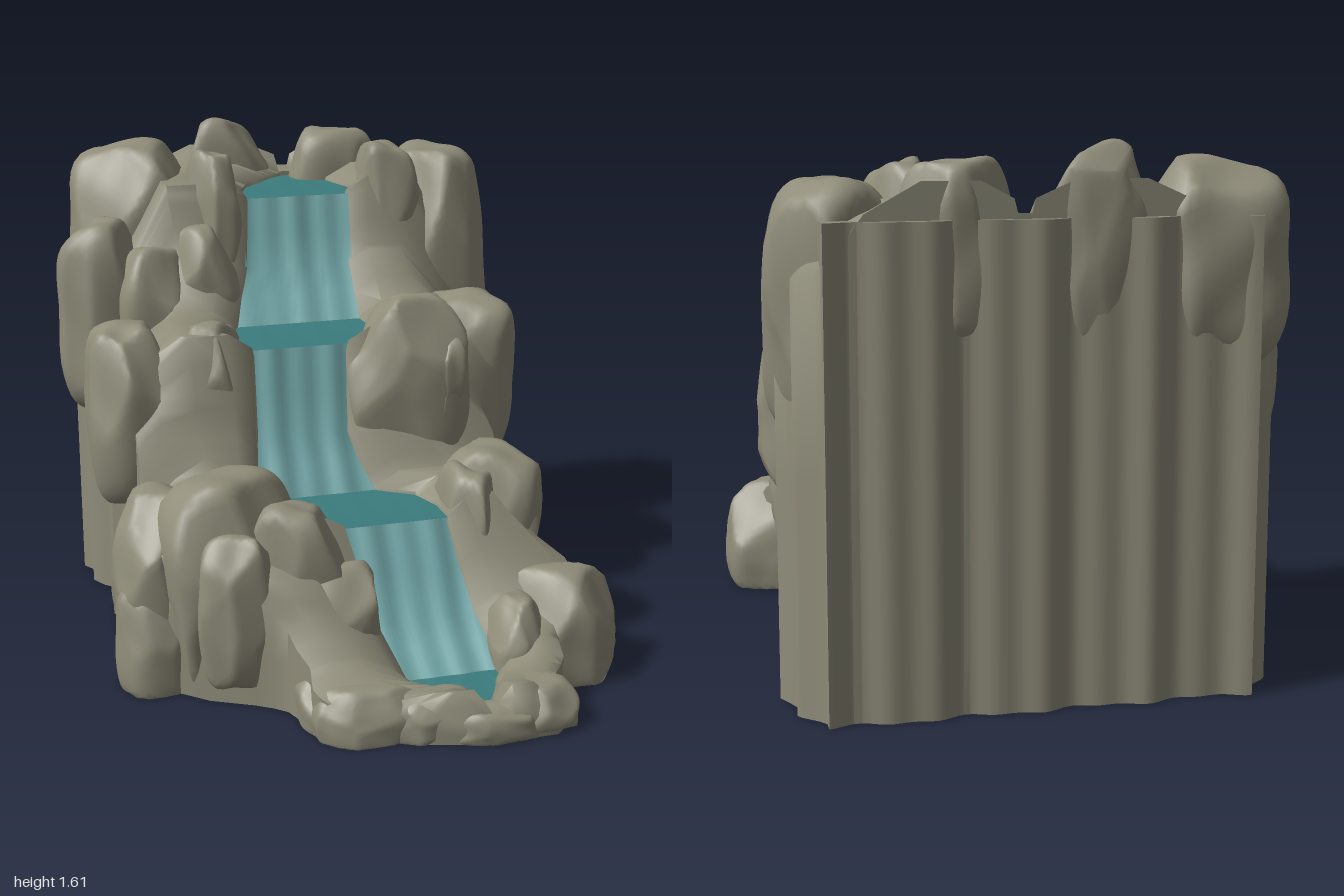
import * as THREE from 'three';
import { mergeVertices, toCreasedNormals } from 'three/addons/utils/BufferGeometryUtils.js';

const material = (name, color) => {
  const m = new THREE.MeshStandardMaterial({ color });
  m.name = name;
  return m;
};

function seeded(seed) {
  let s = seed * 7919 + 17;
  return () => (s = (s * 16807) % 2147483647) / 2147483647;
}

// Stream bed from back to front: z, left edge, right edge, height
const BED = [
  [-0.97, 0.07, 0.13, 1.46], [-0.87, 0.07, 0.13, 1.39], [-0.8, 0, 0.2, 1.39],
  [-0.7, -0.1, 0.23, 1.385], [-0.6, -0.14, 0.26, 1.385], [-0.52, -0.14, 0.22, 1.38],
  [-0.44, -0.16, 0.21, 1.15], [-0.31, -0.23, 0.21, 0.98], [-0.2, -0.29, 0.23, 0.97],
  [-0.1, -0.26, 0.16, 0.97], [-0.05, -0.24, 0.09, 0.97], [0.03, -0.25, 0.07, 0.69],
  [0.13, -0.27, 0.13, 0.51], [0.2, -0.29, 0.25, 0.505], [0.3, -0.22, 0.29, 0.5],
  [0.41, -0.06, 0.29, 0.5], [0.55, 0, 0.33, 0.23], [0.71, 0.05, 0.36, 0.1],
  [0.78, 0.09, 0.32, 0.08], [0.87, 0.21, 0.27, 0.08], [0.93, 0.22, 0.27, 0.1],
  [0.98, 0.25, 0.27, 0.04],
];
// Cliff walls: z, left x, left height, right height, right x
const WALLS = [
  [-0.95, -0.58, 1.42, 1.42, 0.66], [-0.85, -0.66, 1.35, 1.38, 0.72], [-0.7, -0.72, 1.2, 1.3, 0.75],
  [-0.5, -0.7, 1.1, 1.18, 0.66], [-0.42, -0.62, 1, 1.05, 0.58], [-0.3, -0.68, 0.95, 0.96, 0.66],
  [-0.1, -0.7, 0.92, 0.92, 0.64], [0, -0.64, 0.8, 0.8, 0.55], [0.08, -0.6, 0.6, 0.57, 0.6],
  [0.25, -0.7, 0.55, 0.52, 0.64], [0.4, -0.62, 0.5, 0.46, 0.6], [0.55, -0.4, 0.4, 0.32, 0.7],
  [0.62, -0.29, 0.3, 0.25, 0.68], [0.72, -0.27, 0.2, 0.2, 0.56], [0.83, -0.24, 0.14, 0.14, 0.5],
  [0.92, 0.02, 0.1, 0.09, 0.48], [0.98, 0.2, 0.04, 0.05, 0.45],
];

function sample(rows, z) {
  let i = 0;
  while (i < rows.length - 2 && rows[i + 1][0] < z) i++;
  const [a, b] = [rows[i], rows[i + 1]];
  const t = THREE.MathUtils.clamp((z - a[0]) / (b[0] - a[0]), 0, 1);
  return a.map((v, k) => v + (b[k] - v) * t);
}

function fromArrays(positions, index) {
  const g = new THREE.BufferGeometry();
  g.setAttribute('position', new THREE.Float32BufferAttribute(positions, 3));
  g.setIndex(index);
  g.computeVertexNormals();
  return g;
}

// Stepped cliff: closed cross-sections lofted from back to front
function cliffGeometry() {
  const marks = [...new Set([...BED.slice(1), ...WALLS].map((r) => r[0]))].sort((a, b) => a - b);
  const zs = marks.flatMap((z, i) => (i ? [(z + marks[i - 1]) / 2, z] : [z]));
  const mix = THREE.MathUtils.lerp;
  const pos = [], index = [];
  let n = 0;
  zs.forEach((z, i) => {
    const [, wl, wr, y] = sample(BED, z);
    const [, l, hl, hr, r] = sample(WALLS, z);
    const flute = 0.014 * Math.sin(z * 42);
    const xl = l - flute, xr = r + flute;
    const rim = Math.min(0.06, y);
    const ring = [
      [xl, 0], [xr, 0], [xr, hr * 0.5], [xr, hr * 0.9], [mix(xr, wr, 0.2), hr],
      [mix(xr, wr, 0.5), Math.max(hr, y + rim)], [mix(xr, wr, 0.82), y + rim], [wr, y + 0.01], [wr - 0.01, y - 0.03],
      [wl + 0.01, y - 0.03], [wl, y + 0.01], [mix(xl, wl, 0.82), y + rim], [mix(xl, wl, 0.5), Math.max(hl, y + rim)],
      [mix(xl, wl, 0.2), hl], [xl, hl * 0.9], [xl, hl * 0.5],
    ];
    n = ring.length;
    ring.forEach(([x, h]) => pos.push(x, h, z));
    if (i) for (let j = 0; j < n; j++) {
      const k = (j + 1) % n, a = (i - 1) * n, b = i * n;
      index.push(a + j, a + k, b + j, a + k, b + k, b + j);
    }
  });
  // End caps
  const last = (zs.length - 1) * n, c = zs.length * n;
  pos.push(0.05, 0.3, zs[0], 0.3, 0.015, zs[zs.length - 1]);
  for (let j = 0; j < n; j++) {
    const k = (j + 1) % n;
    index.push(c, k, j, c + 1, last + j, last + k);
  }
  return toCreasedNormals(fromArrays(pos, index), 0.9);
}

// Upright back wall with soft flutes
function backWallGeometry() {
  const plan = new THREE.Shape();
  plan.moveTo(-0.58, 0.9);
  plan.lineTo(0.66, 0.9);
  for (let i = 0; i <= 60; i++) {
    const x = 0.66 - (1.24 * i) / 60;
    plan.lineTo(x, 0.968 + 0.012 * Math.sin(x * 19) + 0.008 * Math.sin(x * 41));
  }
  const g = new THREE.ExtrudeGeometry(plan, { depth: 1.4, bevelEnabled: false });
  return toCreasedNormals(g.rotateX(-Math.PI / 2), 0.8);
}

// Blocky boulder: rounded box cut by random planes, flat on the ground
function boulderGeometry([x, y, z, rx, ry, rz], seed) {
  const rnd = seeded(seed + 3);
  for (let i = 0; i < 5; i++) rnd();
  const cuts = Array.from({ length: 12 }, () => ({
    n: new THREE.Vector3(rnd() * 2 - 1, rnd() * 1.4 - 0.5, rnd() * 2 - 1).normalize(),
    d: 0.84 + rnd() * 0.22,
  }));
  let g = new THREE.IcosahedronGeometry(1, 10);
  g.deleteAttribute('normal');
  g.deleteAttribute('uv');
  g = mergeVertices(g, 1e-4);
  const p = g.attributes.position, v = new THREE.Vector3(), e = 3.6;
  for (let i = 0; i < p.count; i++) {
    v.fromBufferAttribute(p, i);
    v.multiplyScalar((Math.abs(v.x) ** e + Math.abs(v.y) ** e + Math.abs(v.z) ** e) ** (-1 / e));
    for (const { n, d } of cuts) {
      const over = v.dot(n) - d;
      if (over > 0) v.addScaledVector(n, -over * 0.9);
    }
    v.multiplyScalar(1 + 0.03 * Math.sin(v.x * 5 + seed) * Math.sin(v.z * 5 + seed * 2) + 0.02 * Math.sin(v.y * 6 + v.x * 4 + seed));
    p.setXYZ(i, x + v.x * rx, Math.max(0, y + v.y * ry), z + v.z * rz);
  }
  g.computeVertexNormals();
  return g;
}

// Strip of water across the given bed rows, rippled along the flow
function waterGeometry(rows, ripple) {
  const across = 20, pos = [], index = [];
  const fine = rows.flatMap((r, i) => (i ? [sample(rows, (r[0] + rows[i - 1][0]) / 2), r] : [r]));
  fine.forEach(([z, l, r, y], i) => {
    for (let j = 0; j <= across; j++) {
      const x = l - 0.008 + ((r - l + 0.016) * j) / across;
      const w = ripple * (Math.sin(x * 60) + 0.6 * Math.sin(x * 33 + 1));
      pos.push(x, y + w * 0.3, z + w);
      if (i && j) {
        const b = i * (across + 1) + j, a = b - across - 1;
        index.push(a - 1, b - 1, a, a, b - 1, b);
      }
    }
  });
  return fromArrays(pos, index);
}

// Boulders: centre x, y, z and half sizes
const LEFT = [
  [-0.48, 1.25, -0.78, 0.23, 0.3, 0.2], [-0.65, 1, -0.56, 0.15, 0.33, 0.16], [-0.46, 0.95, -0.46, 0.16, 0.29, 0.14],
  [-0.25, 1.2, -0.56, 0.1, 0.34, 0.13], [-0.3, 1.05, -0.48, 0.13, 0.26, 0.13],
  [-0.62, 0.75, -0.18, 0.15, 0.31, 0.17], [-0.38, 0.73, -0.16, 0.15, 0.33, 0.17],
  [-0.62, 0.33, 0.21, 0.15, 0.28, 0.17], [-0.4, 0.33, 0.28, 0.24, 0.34, 0.22], [-0.21, 0.26, 0.42, 0.19, 0.34, 0.13],
  [-0.12, 0.15, 0.52, 0.15, 0.28, 0.12], [-0.42, 0.29, 0.47, 0.13, 0.25, 0.11], [-0.62, 0.13, 0.27, 0.15, 0.25, 0.15],
];
const RIGHT = [
  [0.6, 1.12, -0.7, 0.19, 0.38, 0.24], [0.37, 1.2, -0.6, 0.13, 0.34, 0.15], [0.27, 1.3, -0.86, 0.17, 0.26, 0.11],
  [0.29, 0.81, -0.04, 0.21, 0.31, 0.13], [0.41, 0.81, 0, 0.08, 0.17, 0.09], [0.58, 0.74, -0.28, 0.19, 0.31, 0.19],
  [0.38, 0.83, -0.3, 0.14, 0.22, 0.15], [0.5, 0.38, 0.22, 0.18, 0.28, 0.19], [0.39, 0.34, 0.3, 0.1, 0.29, 0.17],
  [0.61, 0.13, 0.55, 0.19, 0.23, 0.17], [0.43, 0.1, 0.62, 0.09, 0.2, 0.14],
];
const RIM = [
  [-0.12, 1.32, -0.9, 0.16, 0.28, 0.08], [-0.17, 0.06, 0.67, 0.12, 0.14, 0.14], [-0.1, 0.05, 0.82, 0.17, 0.11, 0.09],
  [0.08, 0.05, 0.87, 0.13, 0.09, 0.07], [0.26, 0.03, 0.93, 0.13, 0.07, 0.07], [0.42, 0.05, 0.86, 0.11, 0.09, 0.13],
];

export function createModel() {
  const rock = material('rock', 0x8f8c79);
  const falls = material('falling water', 0x74a9aa);
  const pool = material('pool water', 0x3b7b7e);
  falls.side = pool.side = THREE.DoubleSide;
  const model = new THREE.Group();
  const add = (name, geometry, mat) => {
    const mesh = new THREE.Mesh(geometry, mat);
    mesh.name = name;
    model.add(mesh);
  };

  add('cliff', cliffGeometry(), rock);
  add('backWall', backWallGeometry(), rock);
  LEFT.forEach((b, i) => add('leftBoulder', boulderGeometry(b, i + 1), rock));
  RIGHT.forEach((b, i) => add('rightBoulder', boulderGeometry(b, i + 21), rock));
  RIM.forEach((b, i) => add('rimRock', boulderGeometry(b, i + 41), rock));

  // Pools and falls alternate down the steps
  [[1, 5], [7, 10], [12, 15], [17, 19]].forEach(([a, b]) => add('pool', waterGeometry(BED.slice(a, b + 1), 0.001), pool));
  [[5, 7], [10, 12], [15, 17]].forEach(([a, b]) => add('waterfall', waterGeometry(BED.slice(a, b + 1), 0.005), falls));
  return model;
}
